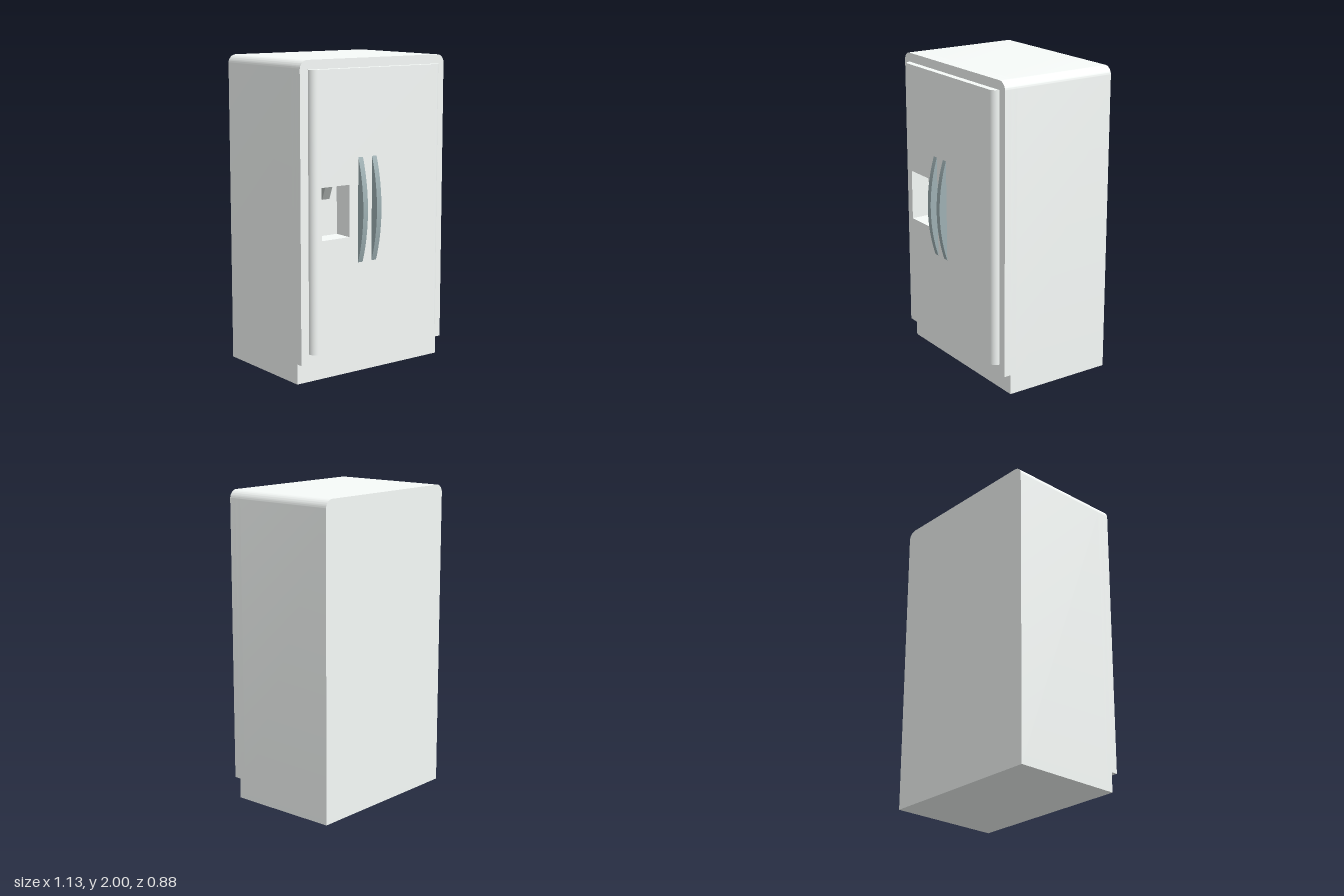
import * as THREE from 'three';
import { toCreasedNormals } from 'three/addons/utils/BufferGeometryUtils.js';

const white = new THREE.MeshStandardMaterial({ color: 0xf7fbf9 });
const steel = new THREE.MeshStandardMaterial({ color: 0x9eb0b3 });
const dark = new THREE.MeshStandardMaterial({ color: 0xb4bab7 });

const W = 0.565, BACK = -0.442, FRONT = 0.347, DOOR = 0.39;
const RECESS = { x0: -0.439, x1: -0.228, y0: 0.905, y1: 1.232, z: 0.26 };

function add(parent, name, geometry, material = white) {
  const mesh = new THREE.Mesh(geometry, material);
  mesh.name = name;
  parent.add(mesh);
  return mesh;
}

function rectangle(path, x0, y0, x1, y1) {
  path.moveTo(x0, y0);
  path.lineTo(x1, y0);
  path.lineTo(x1, y1);
  path.lineTo(x0, y1);
  path.closePath();
  return path;
}

const recessHole = () => rectangle(new THREE.Path(), RECESS.x0, RECESS.y0, RECESS.x1, RECESS.y1);

// Front outline of the cabinet with rounded top corners
function cabinetOutline(bottom) {
  const r = 0.055, s = new THREE.Shape();
  s.moveTo(-W, bottom);
  s.lineTo(W, bottom);
  s.lineTo(W, 2 - r);
  s.absarc(W - r, 2 - r, r, 0, Math.PI / 2, false);
  s.lineTo(-W + r, 2);
  s.absarc(-W + r, 2 - r, r, Math.PI / 2, Math.PI, false);
  s.closePath();
  return s;
}

// Extrude a front outline from z0 to z1
function slab(shape, z0, z1) {
  const g = new THREE.ExtrudeGeometry(shape, { depth: z1 - z0, bevelEnabled: false, curveSegments: 12 });
  return toCreasedNormals(g.translate(0, 0, z0), 0.5);
}

// Extrude a side outline (z, y) across the width from x0 to x1
function sideSlab(shape, x0, x1) {
  const g = new THREE.ExtrudeGeometry(shape, { depth: x1 - x0, bevelEnabled: false, curveSegments: 24 });
  return toCreasedNormals(g.rotateY(-Math.PI / 2).translate(x1, 0, 0), 0.3);
}

export function createModel() {
  const model = new THREE.Group();
  model.name = 'refrigerator';

  // Cabinet in layers: solid back, recessed kick plate layer, front rim
  const cabinet = new THREE.Group();
  cabinet.name = 'cabinet';
  model.add(cabinet);
  add(cabinet, 'cabinetBack', slab(cabinetOutline(0), BACK, RECESS.z));
  const kick = cabinetOutline(0);
  kick.holes.push(recessHole());
  add(cabinet, 'kickPlateLayer', slab(kick, RECESS.z, 0.302));
  const rim = cabinetOutline(0.13);
  rim.holes.push(recessHole());
  add(cabinet, 'frontRim', slab(rim, 0.302, FRONT));

  // Door: flat panel with the dispenser opening, and rounded vertical edges
  const door = new THREE.Group();
  door.name = 'door';
  model.add(door);
  const r = DOOR - FRONT, half = 0.507, y0 = 0.193, y1 = 1.942;
  const panel = rectangle(new THREE.Shape(), -half + r, y0, half - r, y1);
  panel.holes.push(recessHole());
  add(door, 'doorPanel', slab(panel, FRONT, DOOR));
  for (const [name, x, start] of [['leftDoorEdge', half - r, 0], ['rightDoorEdge', -half + r, -Math.PI / 2]]) {
    const edge = new THREE.CylinderGeometry(r, r, y1 - y0, 12, 1, false, start, Math.PI / 2);
    add(door, name, edge).position.set(x, (y0 + y1) / 2, FRONT);
  }

  // Dispenser spout: a tapered block under the recess ceiling
  const spout = new THREE.Shape();
  spout.moveTo(RECESS.z, 1.138);
  spout.lineTo(0.287, 1.138);
  spout.lineTo(0.325, RECESS.y1);
  spout.lineTo(RECESS.z, RECESS.y1);
  spout.closePath();
  add(model, 'dispenserSpout', sideSlab(spout, -0.36, -0.305), dark);

  // Bowed handles
  const reach = 0.33, rise = 0.052, midY = 1.066;
  const R = (reach * reach + rise * rise) / (2 * rise);
  const a = Math.asin(reach / R);
  const bow = new THREE.Shape();
  bow.absarc(DOOR + rise - R, midY, R, -a, a, false);
  bow.closePath();
  [['rightHandle', -0.16], ['leftHandle', -0.053]].forEach(([name, x]) =>
    add(model, name, sideSlab(bow, x, x + 0.036), steel));

  return model;
}
